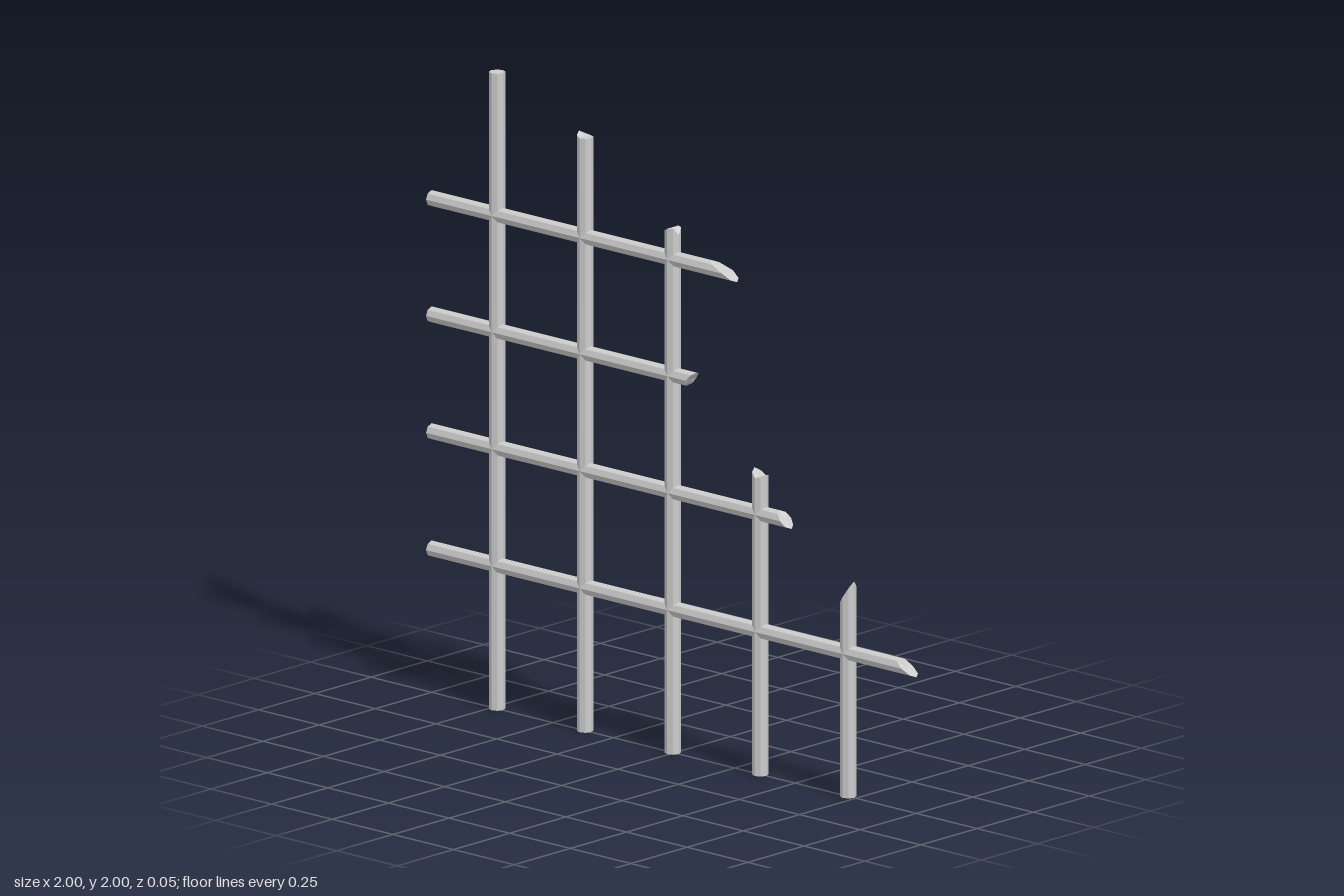
import * as THREE from 'three';

const RADIUS = 0.025;
const SIDES = 8;
// Positions across the bar, from -1 to 1, at which the broken end is described
const ACROSS = [-1, -0.707, 0, 0.707, 1];

// Eight-sided bar along +y from 0; ends[] gives its length at each step of ACROSS
function brokenBar(ends) {
  const geometry = new THREE.CylinderGeometry(RADIUS, RADIUS, 2, SIDES);
  geometry.translate(0, 1, 0);
  const pos = geometry.attributes.position;
  for (let i = 0; i < pos.count; i++) {
    if (pos.getY(i) < 1) continue;
    const u = pos.getX(i) / RADIUS;
    let nearest = 0;
    ACROSS.forEach((a, k) => {
      if (Math.abs(a - u) < Math.abs(ACROSS[nearest] - u)) nearest = k;
    });
    pos.setY(i, ends[nearest]);
  }
  const flat = geometry.toNonIndexed();
  flat.computeVertexNormals();
  return flat;
}

export function createModel() {
  const model = new THREE.Group();
  model.name = 'brokenGrate';
  const metal = new THREE.MeshStandardMaterial({ color: 0xcccccc, flatShading: true });

  // Upright bars: x position, then top heights from left to right
  const uprights = [
    [-0.73, [2, 2, 2, 2, 2]],
    [-0.367, [1.88, 1.87, 1.865, 1.865, 1.865]],
    [-0.005, [1.6, 1.64, 1.65, 1.65, 1.63]],
    [0.356, [0.96, 0.95, 0.935, 0.94, 0.945]],
    [0.718, [0.6, 0.61, 0.63, 0.66, 0.68]],
  ];
  uprights.forEach(([x, ends], i) => {
    const bar = new THREE.Mesh(brokenBar(ends), metal);
    bar.name = `uprightBar${i + 1}`;
    bar.position.x = x;
    model.add(bar);
  });

  // Cross bars: height, then the x of the broken end from top to bottom
  const crossBars = [
    [1.552, [0.15, 0.17, 0.22, 0.25, 0.26]],
    [1.187, [0.095, 0.085, 0.07, 0.06, 0.05]],
    [0.82, [0.43, 0.445, 0.46, 0.475, 0.485]],
    [0.452, [0.86, 0.935, 0.96, 0.99, 1]],
  ];
  crossBars.forEach(([y, ends], i) => {
    const bar = new THREE.Mesh(brokenBar(ends.map((x) => x + 1)), metal);
    bar.name = `crossBar${i + 1}`;
    bar.rotation.z = -Math.PI / 2;
    bar.position.set(-1, y, 0);
    model.add(bar);
  });

  return model;
}
